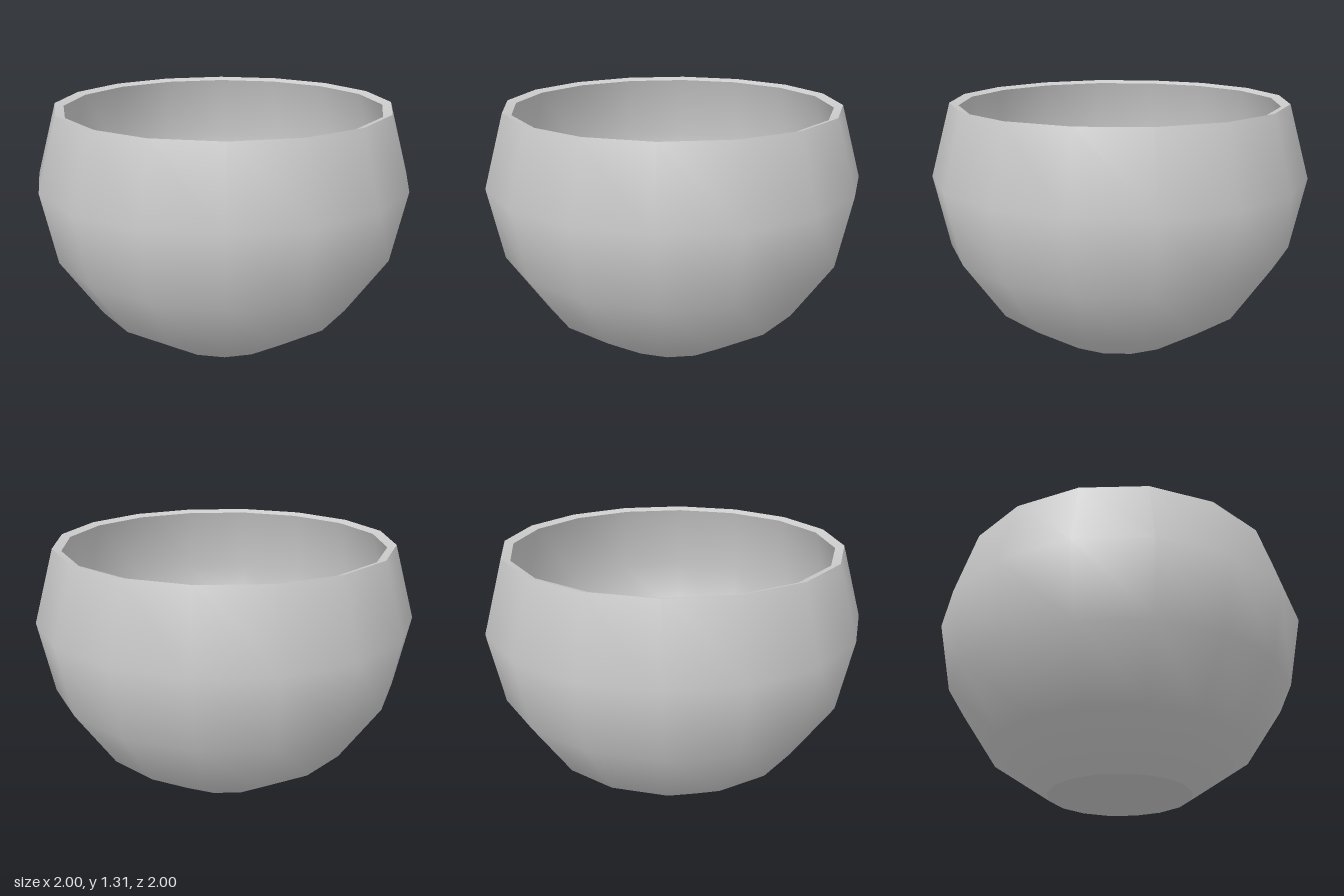
import * as THREE from 'three';

const SIDES = 16;
const CENTRE_Y = 0.924; // height of the widest ring
const WALL = 0.05;

export function createModel() {
  const bowl = new THREE.Group();
  bowl.name = 'bowl';
  const material = new THREE.MeshStandardMaterial({ color: 0xcccccc });

  // Outer rings follow a sphere in 22.5 degree steps, drawn in slightly at the mouth
  const outer = [67.5, 45, 22.5, 0].map((deg) => {
    const a = THREE.MathUtils.degToRad(deg);
    return new THREE.Vector2(Math.cos(a), CENTRE_Y - Math.sin(a));
  });
  outer.push(new THREE.Vector2(0.89, 1.307));

  // Inner rings are the outer ones pulled towards the sphere's centre
  const inner = outer.map((p) => new THREE.Vector2(
    p.x * (1 - WALL), CENTRE_Y + (p.y - CENTRE_Y) * (1 - WALL)));
  inner[4].set(0.844, 1.293);

  // Separate lathes keep the rim and base edges sharp
  const addLathe = (name, points) => {
    const mesh = new THREE.Mesh(new THREE.LatheGeometry(points, SIDES), material);
    mesh.name = name;
    bowl.add(mesh);
  };
  const onAxis = (p) => new THREE.Vector2(0, p.y);

  addLathe('outerWall', outer);
  addLathe('rim', [outer[4], inner[4]]);
  addLathe('innerWall', [...inner].reverse().concat(onAxis(inner[0])));
  addLathe('base', [onAxis(outer[0]), outer[0]]);

  return bowl;
}
